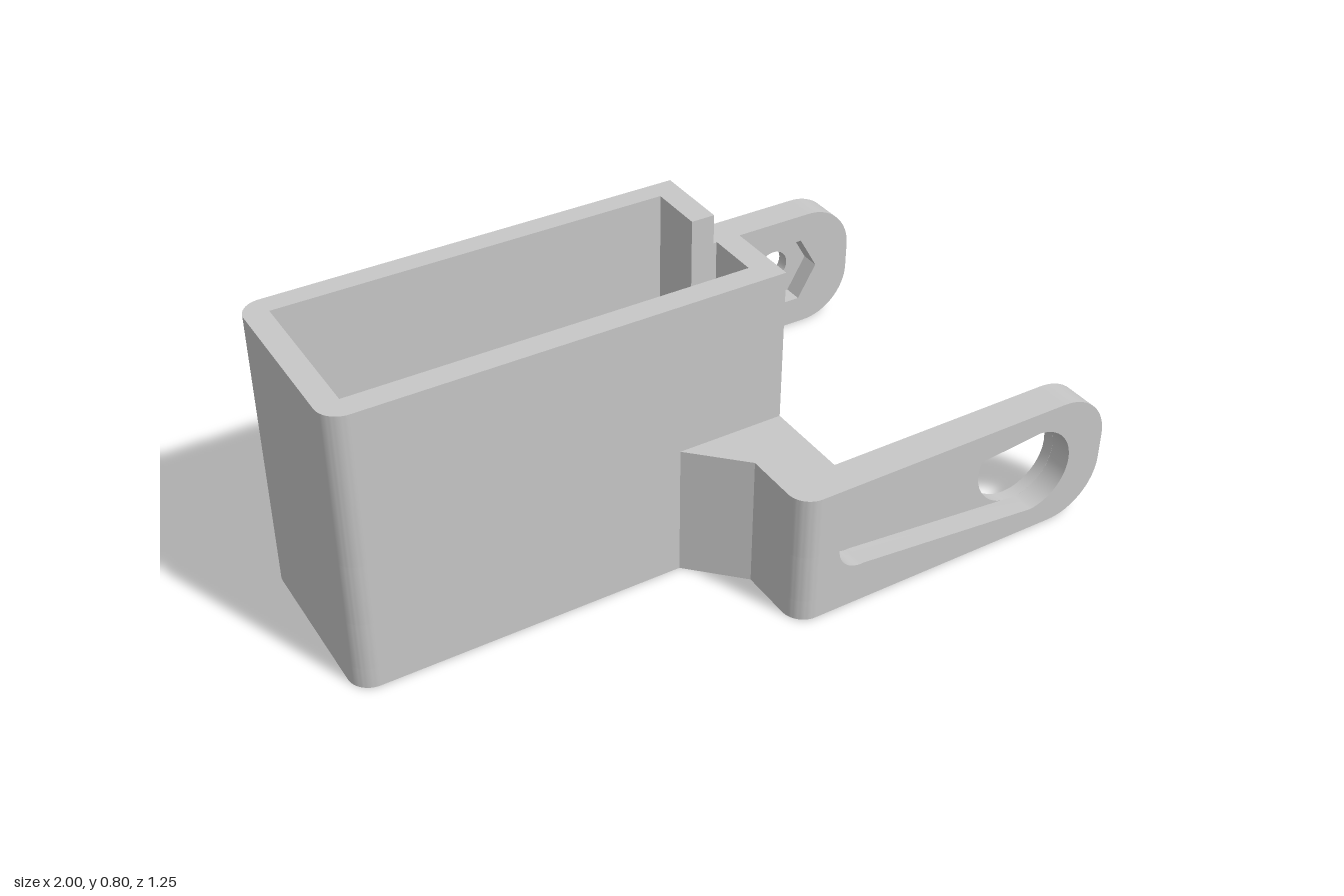
import * as THREE from 'three';
import { toCreasedNormals } from 'three/addons/utils/BufferGeometryUtils.js';

const grey = new THREE.MeshStandardMaterial({ color: 0xc7c7c7 });
grey.name = 'light grey plastic';

// Closed outline from [x, y, cornerRadius?] points
function outline(points, Type = THREE.Shape) {
  const path = new Type();
  const n = points.length;
  const v = points.map(([x, y]) => new THREE.Vector2(x, y));
  const k = 0.4477;
  points.forEach(([, , r = 0], i) => {
    const p = v[i];
    const toward = (q, d) => p.clone().add(q.clone().sub(p).setLength(d));
    const prev = v[(i + n - 1) % n], next = v[(i + 1) % n];
    const a = r ? toward(prev, r) : p;
    if (i === 0) path.moveTo(a.x, a.y);
    else path.lineTo(a.x, a.y);
    if (r) {
      const b = toward(next, r), c1 = toward(prev, r * k), c2 = toward(next, r * k);
      path.bezierCurveTo(c1.x, c1.y, c2.x, c2.y, b.x, b.y);
    }
  });
  path.closePath();
  return path;
}

function extrude(shape, depth) {
  return new THREE.ExtrudeGeometry(shape, { depth, bevelEnabled: false, curveSegments: 16 });
}

function part(name, geometry) {
  const mesh = new THREE.Mesh(toCreasedNormals(geometry, 0.6), grey);
  mesh.name = name;
  return mesh;
}

// Plan view slab between two heights; points are [x, z, radius?]
function slab(name, points, y0, y1, hole) {
  const flip = (list) => list.map(([x, z, r]) => [x, -z, r]);
  const shape = outline(flip(points));
  if (hole) shape.holes.push(outline(flip(hole), THREE.Path));
  const g = extrude(shape, y1 - y0);
  g.rotateX(-Math.PI / 2);
  g.translate(0, y0, 0);
  return part(name, g);
}

// Arm layer between two depths, with one opening
function armLayer(name, z0, z1, hole) {
  const shape = outline([[0.1, 0], [1, 0, 0.15], [1, 0.376, 0.15], [0.1, 0.376]]);
  shape.holes.push(hole);
  const g = extrude(shape, z1 - z0);
  g.translate(0, 0, z0);
  return part(name, g);
}

const PX = 0.767, PY = 0.188; // pivot centre
const circle = (r) => new THREE.Path().absarc(PX, PY, r, 0, Math.PI * 2);

// Tapered pocket: hull of a large and a small circle
function hornPocket() {
  const R = 0.125, r = 0.07, x = 0.225;
  const a = Math.acos((R - r) / (PX - x));
  const p = new THREE.Path();
  p.absarc(PX, PY, R, -a, a);
  p.absarc(x, PY, r, a, Math.PI * 2 - a);
  p.closePath();
  return p;
}

function hexPocket() {
  const pts = [];
  for (let i = 0; i < 6; i++) {
    const t = (i * Math.PI) / 3;
    pts.push([PX + 0.118 * Math.cos(t), PY + 0.118 * Math.sin(t)]);
  }
  return outline(pts, THREE.Path);
}

export function createModel() {
  const model = new THREE.Group();
  model.name = 'forkBracket';

  // Inner cavity, and the same cavity opened by the slot in the end wall
  const cavity = [[-0.937, -0.195], [-0.937, 0.22], [0.13, 0.22], [0.13, -0.195]];
  const slotted = [
    [0.196, -0.04], [0.13, -0.04], [0.13, -0.195], [-0.937, -0.195],
    [-0.937, 0.22], [0.13, 0.22], [0.13, 0.075], [0.196, 0.075],
  ];

  // Box with gussets and fork crossbar
  const base = (end) => [
    [-1, -0.255, 0.06], [-0.1, -0.255], [0.033, -0.388], [0.033, -0.623, 0.06],
    [0.1, -0.623], [0.1, -0.527], [0.196, -0.527], ...end,
    [0.196, 0.525], [0.1, 0.525], [0.1, 0.622], [0.033, 0.622, 0.06],
    [0.033, 0.418], [-0.1, 0.285], [-1, 0.285, 0.06],
  ];
  model.add(slab('floor', base([]), 0, 0.06));
  model.add(slab('lowerWalls', base([]), 0.06, 0.2, cavity));
  model.add(slab('slottedWalls', base(slotted), 0.2, 0.376));

  // Upper box walls
  model.add(slab('upperWalls', [
    [-1, -0.255, 0.06], [0.196, -0.255], ...slotted, [0.196, 0.285], [-1, 0.285, 0.06],
  ], 0.376, 0.802));

  // Front arm: through hole with a tapered pocket on its outer face
  const frontArm = new THREE.Group();
  frontArm.name = 'frontArm';
  frontArm.add(armLayer('frontArmInner', 0.525, 0.558, circle(0.125)));
  frontArm.add(armLayer('frontArmOuter', 0.558, 0.622, hornPocket()));

  // Back arm: bolt hole with a hexagonal nut pocket on its inner face
  const backArm = new THREE.Group();
  backArm.name = 'backArm';
  backArm.add(armLayer('backArmOuter', -0.623, -0.585, circle(0.05)));
  backArm.add(armLayer('backArmInner', -0.585, -0.527, hexPocket()));

  model.add(frontArm, backArm);
  return model;
}
